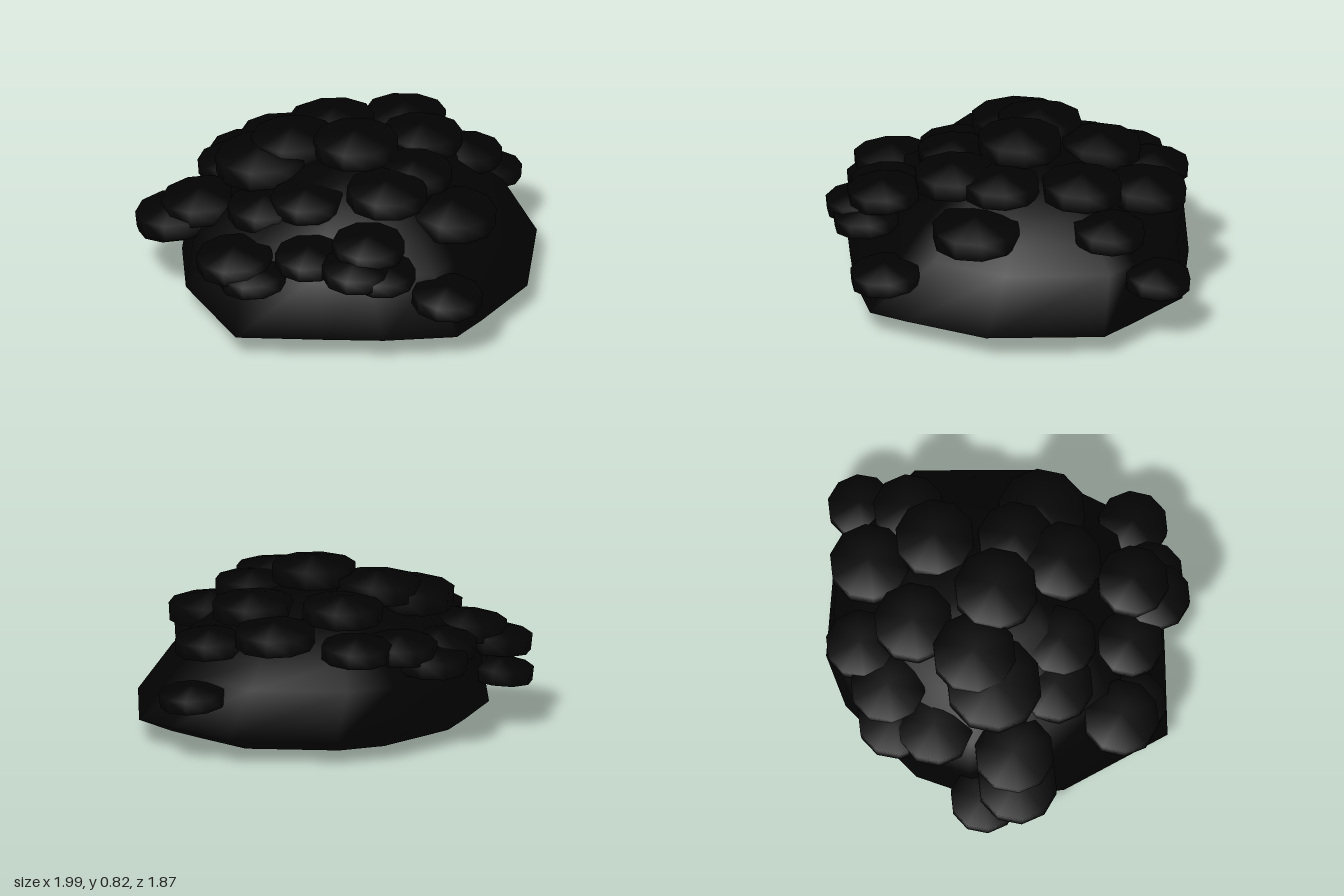
import * as THREE from 'three';
import { mergeVertices } from 'three/addons/utils/BufferGeometryUtils.js';

const material = new THREE.MeshStandardMaterial({ color: 0x020202 });

// Irregular mound: one rim outline, scaled and shifted from ring to ring
function moundGeometry() {
  const rim = [
    [-0.94, 0.23], [-0.62, 0.5], [-0.4, 0.68], [-0.1, 0.86], [0.09, 0.8], [0.48, 0.65],
    [0.855, 0.23], [0.84, 0.03], [0.8, -0.33], [0.44, -0.71], [0.19, -0.81],
    [-0.3, -0.8], [-0.6, -0.64], [-0.82, -0.32],
  ];
  // height, scale, shift in z
  const rings = [
    [0, 0, -0.05], [0.01, 0.5, -0.05], [0.055, 0.85, -0.05], [0.115, 1, 0], [0.36, 0.88, -0.1],
    [0.47, 0.75, -0.1], [0.58, 0.55, -0.08], [0.665, 0.3, -0.06], [0.7, 0, -0.05],
  ];
  const positions = [], index = [], n = rim.length;
  rings.forEach(([y, s, dz], i) => {
    rim.forEach(([x, z], j) => {
      positions.push(x * s, y, z * s + dz);
      if (i === rings.length - 1) return;
      const a = i * n + j, b = i * n + (j + 1) % n;
      // the end rings are single points, so they need one triangle per side
      if (i > 0) index.push(a, b, b + n);
      if (i < rings.length - 2) index.push(a, b + n, a + n);
    });
  });
  let geometry = new THREE.BufferGeometry();
  geometry.setAttribute('position', new THREE.Float32BufferAttribute(positions, 3));
  geometry.setIndex(index);
  geometry = mergeVertices(geometry);
  geometry.computeVertexNormals();
  return geometry;
}

// Flat lumps: x, y, z, radius
const lumps = [
  // low, around the rim
  [0.84, 0.295, -0.13, 0.165], [-0.09, 0.285, 0.77, 0.175], [-0.64, 0.265, -0.67, 0.17],
  // lower tier
  [-0.81, 0.415, 0.05, 0.19], [-0.78, 0.36, 0.15, 0.17], [-0.62, 0.45, -0.46, 0.2],
  [-0.72, 0.38, -0.53, 0.2], [-0.11, 0.43, -0.76, 0.19], [-0.27, 0.46, -0.65, 0.19],
  [0.02, 0.5, -0.69, 0.19], [-0.48, 0.47, 0.57, 0.17], [-0.37, 0.44, 0.63, 0.165],
  [-0.57, 0.46, 0.32, 0.17],
  // middle tier
  [0.62, 0.5, -0.02, 0.18], [0.52, 0.58, -0.36, 0.2], [0.26, 0.52, -0.65, 0.175],
  [-0.37, 0.54, 0.52, 0.18], [0.19, 0.5, 0.44, 0.22], [-0.51, 0.53, -0.1, 0.19],
  // upper tier
  [0.39, 0.64, -0.06, 0.2], [0.14, 0.65, -0.42, 0.2], [-0.18, 0.69, -0.32, 0.21],
  [-0.34, 0.63, -0.34, 0.24], [-0.38, 0.59, 0.05, 0.18], [-0.1, 0.65, 0.31, 0.2],
  [0.13, 0.65, 0.22, 0.19], [-0.02, 0.74, -0.04, 0.21],
];

export function createModel() {
  const model = new THREE.Group();
  model.name = 'lumpyMound';

  const mound = new THREE.Mesh(moundGeometry(), material);
  mound.name = 'mound';
  model.add(mound);

  const lumpGeometry = new THREE.SphereGeometry(1, 10, 3);
  const group = new THREE.Group();
  group.name = 'lumps';
  lumps.forEach(([x, y, z, r], i) => {
    const lump = new THREE.Mesh(lumpGeometry, material);
    lump.name = `lump${i + 1}`;
    lump.position.set(x, y, z);
    // each lump leans slightly outwards
    lump.rotation.set(z * 0.12, 0, -x * 0.12);
    lump.scale.set(r * 1.1, r * 0.4, r * 1.1);
    group.add(lump);
  });
  model.add(group);
  return model;
}
